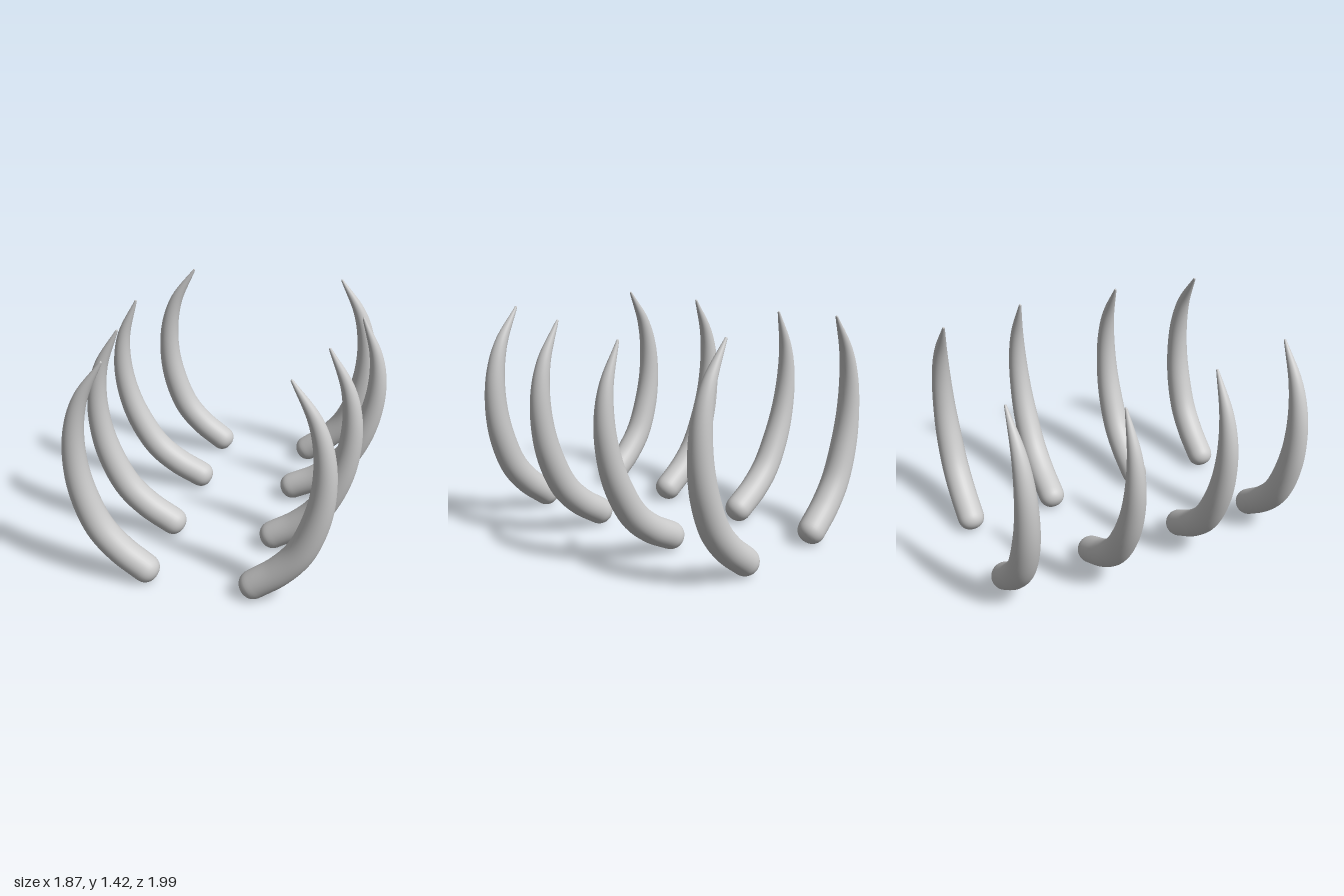
import * as THREE from 'three';
import { mergeVertices } from 'three/addons/utils/BufferGeometryUtils.js';

const BASE_X = 0.34, BASE_Y = 0.1;

// One tapered tusk: a lathed profile bent along a planar curve, base at the origin
function makeTuskGeometry() {
  const path = new THREE.CatmullRomCurve3([
    [0.34, 0.1], [0.485, 0.215], [0.605, 0.36], [0.69, 0.57],
    [0.728, 0.78], [0.722, 1.0], [0.667, 1.2], [0.533, 1.423],
  ].map(([x, y]) => new THREE.Vector3(x - BASE_X, y - BASE_Y, 0)), false, 'centripetal');
  path.arcLengthDivisions = 400;
  const length = path.getLength();

  // Profile: blunt round base, long taper, small rounded tip
  const baseR = 0.088, tipR = 0.008;
  const profile = [];
  for (let i = 0; i <= 10; i++) {
    const a = (i / 10) * Math.PI / 2;
    const back = i === 10 ? 0 : Math.pow(Math.cos(a), 0.88);
    profile.push(new THREE.Vector2(baseR * Math.pow(Math.sin(a), 0.88), -baseR * back));
  }
  const taper = new THREE.SplineCurve([
    [baseR, 0], [0.089, 0.19], [0.088, 0.37], [0.083, 0.6],
    [0.073, 0.81], [0.06, 1.04], [0.041, 1.25], [tipR, 1.5],
  ].map(([r, s]) => new THREE.Vector2(r, (s / 1.5) * length)));
  profile.push(...taper.getPoints(56).slice(1));
  for (let i = 1; i <= 4; i++) {
    const a = (i / 4) * Math.PI / 2;
    profile.push(new THREE.Vector2(i === 4 ? 0 : tipR * Math.cos(a), length + tipR * Math.sin(a)));
  }

  // Bend the lathe: its y runs along the curve, its x across the curve
  const lathe = new THREE.LatheGeometry(profile, 32);
  const pos = lathe.attributes.position;
  for (let i = 0; i < pos.count; i++) {
    const s = pos.getY(i), across = pos.getX(i);
    const u = THREE.MathUtils.clamp(s / length, 0, 1);
    const c = path.getPointAt(u), t = path.getTangentAt(u);
    const extra = s - u * length;
    pos.setXY(i, c.x + t.y * across + t.x * extra, c.y - t.x * across + t.y * extra);
  }
  lathe.deleteAttribute('uv');
  lathe.deleteAttribute('normal');
  const geometry = mergeVertices(lathe, 1e-5);
  geometry.computeVertexNormals();
  return geometry;
}

export function createModel() {
  const group = new THREE.Group();
  group.name = 'tuskRows';
  const geometry = makeTuskGeometry();
  const material = new THREE.MeshStandardMaterial({ color: 0xcccccc });

  // Four pairs from front to back, the middle ones leaning further out
  const pairs = [
    { name: 'front', z: 0.88, lean: 0 },
    { name: 'midFront', z: 0.328, lean: 5 },
    { name: 'midBack', z: -0.322, lean: 10 },
    { name: 'back', z: -0.913, lean: 0 },
  ];
  for (const { name, z, lean } of pairs) {
    for (const side of [1, -1]) {
      const tusk = new THREE.Mesh(geometry, material);
      tusk.name = `${name}${side > 0 ? 'Left' : 'Right'}Tusk`;
      tusk.position.set(side * BASE_X, BASE_Y, z);
      // The right row is turned round, with a slight skew toward the front
      tusk.rotation.set(0, side > 0 ? 0 : Math.PI + 0.065, -THREE.MathUtils.degToRad(lean), 'YXZ');
      group.add(tusk);
    }
  }
  return group;
}
